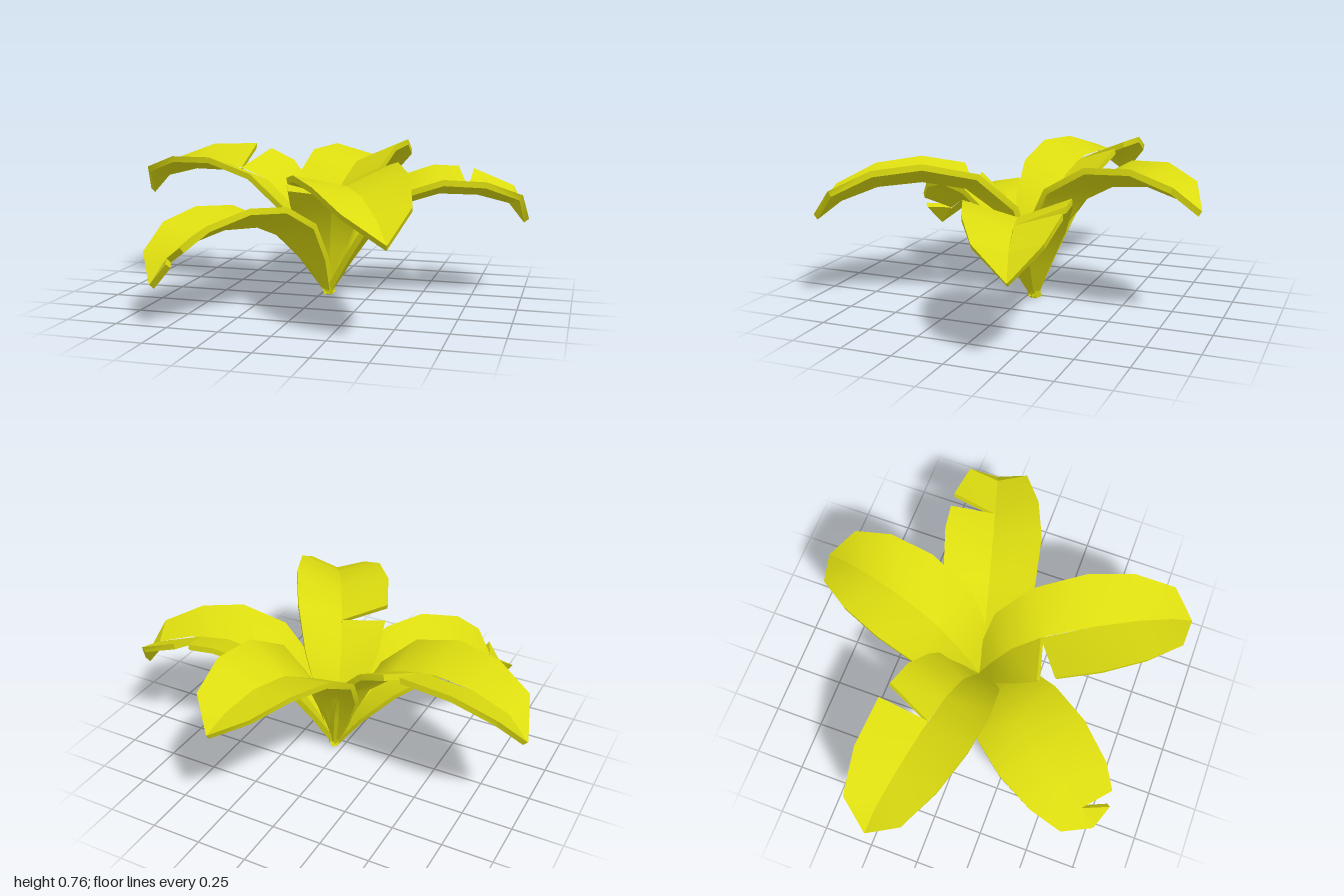
import * as THREE from 'three';
import { mergeGeometries, toCreasedNormals } from 'three/addons/utils/BufferGeometryUtils.js';

const THICK = 0.03;   // blade thickness
const FOLD = 0.33;    // rise of the rim per unit of half width
const STATIONS = [0, 0.17, 0.33, 0.47, 0.62, 0.77, 0.9, 1];
const WIDTHS = [0.015, 0.1, 0.185, 0.23, 0.243, 0.215, 0.15, 0.003];

// tip: [x, z]; profile: midrib [distance, height]; bow and roll are toward the
// side given by outward x up; notch: [position along the midrib, side]
const LEAVES = [
  { name: 'backLeaf', base: [0.05, -0.05], tip: [0.21, -0.9], bow: -0.04, roll: 0.09,
    profile: [[0, 0], [0.13, 0.35], [0.3, 0.57], [0.56, 0.64], [0.74, 0.61], [0.866, 0.54]] },
  { name: 'rightLeaf', base: [0.04, -0.05], tip: [-1, -0.22], bow: -0.01, roll: 0.07, notch: [0.58, 1],
    profile: [[0, 0], [0.14, 0.3], [0.27, 0.5], [0.5, 0.605], [0.72, 0.62], [0.95, 0.57], [1.05, 0.47]] },
  { name: 'leftLeaf', base: [0.05, -0.05], tip: [1, -0.3], bow: 0.015, roll: -0.04, notch: [0.73, -1],
    profile: [[0, 0], [0.1, 0.16], [0.26, 0.38], [0.41, 0.5], [0.57, 0.53], [0.755, 0.52], [0.9, 0.48], [0.98, 0.38]] },
  { name: 'frontLeftLeaf', base: [0.05, -0.05], tip: [0.54, 0.89], bow: 0.04, roll: -0.1, notch: [0.45, 1],
    profile: [[0, 0], [0.05, 0.15], [0.17, 0.43], [0.37, 0.58], [0.68, 0.6], [0.9, 0.55], [1.06, 0.44]] },
  { name: 'frontRightLeaf', base: [0.04, -0.04], tip: [-0.55, 0.76], bow: 0.035, roll: -0.1, notch: [0.885, -1],
    profile: [[0, 0], [0.17, 0.25], [0.335, 0.37], [0.55, 0.4], [0.745, 0.37], [0.88, 0.3], [0.994, 0.18]] },
];

// Half width at a point along the leaf
function widthAt(t) {
  let i = 0;
  while (i < STATIONS.length - 2 && t > STATIONS[i + 1]) i++;
  return THREE.MathUtils.mapLinear(t, STATIONS[i], STATIONS[i + 1], WIDTHS[i], WIDTHS[i + 1]);
}

// Returns a function giving the four corners of one half's section
function sectionMaker({ base, tip, profile, bow, roll }) {
  const out = new THREE.Vector3(tip[0] - base[0], 0, tip[1] - base[1]).normalize();
  const across = out.clone().cross(new THREE.Vector3(0, 1, 0));
  const curve = new THREE.CatmullRomCurve3(profile.map(([r, y]) =>
    new THREE.Vector3(base[0] + out.x * r, y, base[1] + out.z * r)));
  const frame = (t) => {
    const mid = curve.getPointAt(t).addScaledVector(across, bow * Math.sin(Math.PI * t));
    const tangent = curve.getTangentAt(t);
    const side = across.clone().applyAxisAngle(tangent, -roll);
    const normal = side.clone().cross(tangent).normalize();
    if (normal.dot(across) * roll > 0) { // keep the raised side raised
      side.copy(across).applyAxisAngle(tangent, roll);
      normal.copy(side).cross(tangent).normalize();
    }
    return { mid, side, normal };
  };
  return (t, rimT, s) => {
    const m = frame(t), r = frame(rimT), w = widthAt(rimT);
    const rim = r.mid.clone().addScaledVector(r.side, s * w).addScaledVector(r.normal, w * FOLD);
    return [
      m.mid.clone().addScaledVector(m.normal, THICK),
      rim.clone().addScaledVector(r.normal, THICK),
      rim, m.mid,
    ];
  };
}

// Solid strip of one half of a leaf; each station is [midrib t, rim t]
function halfBlade(section, stations, s) {
  const rings = stations.map(([t, rimT]) => section(t, rimT, s));
  const pos = [];
  const quad = (a, b, c, d) => {
    const order = s > 0 ? [a, b, c, a, c, d] : [a, c, b, a, d, c];
    order.forEach((p) => pos.push(p.x, p.y, p.z));
  };
  for (let i = 0; i < rings.length - 1; i++) {
    for (let k = 0; k < 3; k++) quad(rings[i][k], rings[i][k + 1], rings[i + 1][k + 1], rings[i + 1][k]);
  }
  const first = rings[0], last = rings[rings.length - 1];
  quad(first[0], first[3], first[2], first[1]);
  quad(last[0], last[1], last[2], last[3]);
  const geo = new THREE.BufferGeometry();
  geo.setAttribute('position', new THREE.Float32BufferAttribute(pos, 3));
  return toCreasedNormals(geo, 0.55);
}

function leafGeometry(leaf) {
  const section = sectionMaker(leaf);
  const plain = STATIONS.map((t) => [t, t]);
  const parts = [];
  for (const s of [1, -1]) {
    if (leaf.notch && leaf.notch[1] === s) {
      // a wedge cut from the rim to the midrib
      const n = leaf.notch[0];
      parts.push(halfBlade(section, [...plain.filter(([t]) => t < n - 0.04), [n, n - 0.02]], s));
      parts.push(halfBlade(section, [[n, n + 0.035], ...plain.filter(([t]) => t > n + 0.04)], s));
    } else {
      parts.push(halfBlade(section, plain, s));
    }
  }
  return mergeGeometries(parts);
}

export function createModel() {
  const group = new THREE.Group();
  group.name = 'plant';
  const leafYellow = new THREE.MeshStandardMaterial({ color: 0xdcdc10 });
  leafYellow.name = 'leafYellow';
  for (const leaf of LEAVES) {
    const mesh = new THREE.Mesh(leafGeometry(leaf), leafYellow);
    mesh.name = leaf.name;
    group.add(mesh);
  }
  return group;
}
